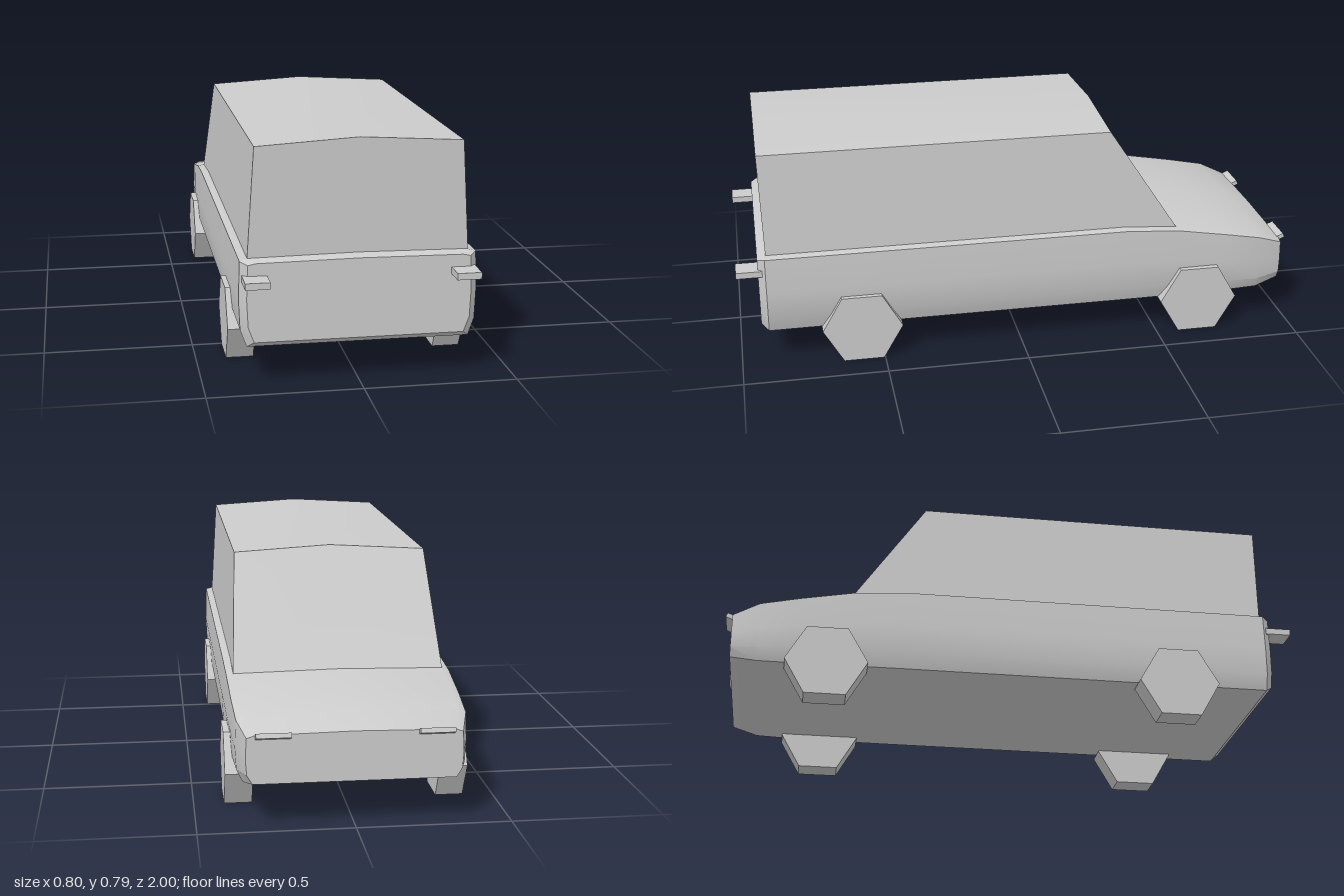
import * as THREE from 'three';
import { toCreasedNormals } from 'three/addons/utils/BufferGeometryUtils.js';

const material = new THREE.MeshStandardMaterial({ color: 0xcccccc });

// Skin closed rings (counter-clockwise seen from +z, ordered from +z to -z), capped at both ends
function loft(rings) {
  const out = [];
  const n = rings[0].length;
  const centre = (ring) => [0, 1, 2].map((k) => ring.reduce((sum, p) => sum + p[k], 0) / n);
  const first = rings[0], last = rings[rings.length - 1];
  const c0 = centre(first), c1 = centre(last);
  for (let j = 0; j < n; j++) {
    const k = (j + 1) % n;
    for (let i = 0; i < rings.length - 1; i++) {
      const [a, b, c, d] = [rings[i][j], rings[i][k], rings[i + 1][j], rings[i + 1][k]];
      out.push(...a, ...c, ...b, ...b, ...c, ...d);
    }
    out.push(...c0, ...first[j], ...first[k], ...c1, ...last[k], ...last[j]);
  }
  const geometry = new THREE.BufferGeometry();
  geometry.setAttribute('position', new THREE.Float32BufferAttribute(out, 3));
  return toCreasedNormals(geometry, 0.45);
}

// Complete a right-hand half outline, ending on the centre line, by mirroring it
function mirrorRing(half) {
  const other = half.slice(0, -1).reverse().map(([x, y, z]) => [-x, y, z]);
  return [...half, ...other];
}

function addMesh(parent, name, geometry, x = 0, y = 0, z = 0) {
  const mesh = new THREE.Mesh(geometry, material);
  mesh.name = name;
  mesh.position.set(x, y, z);
  parent.add(mesh);
  return mesh;
}

// Bulging body section: width scale, sill height, shoulder height, crown height
function bodyRing([z, width, sill, shoulder, crown]) {
  const at = (x, t) => [x * width, sill + (shoulder - sill) * t, z];
  return mirrorRing([
    at(0.36, 0), at(0.38, 0.2), at(0.384, 0.55), at(0.38, 1),
    [0.354 * width, shoulder + (crown - shoulder) * 0.6, z],
    [0, crown, z],
  ]);
}

export function createModel() {
  const car = new THREE.Group();
  car.name = 'car';

  // Lower body from tail (+z) to nose (-z)
  const stations = [
    [0.925, 0.94, 0.145, 0.398, 0.407],
    [0.9, 1, 0.125, 0.406, 0.418],
    [-0.38, 1, 0.125, 0.406, 0.418],
    [-0.57, 0.995, 0.125, 0.392, 0.405],
    [-0.75, 0.985, 0.125, 0.36, 0.376],
    [-0.885, 0.97, 0.128, 0.333, 0.352],
    [-0.975, 0.9, 0.147, 0.297, 0.31],
  ];
  addMesh(car, 'body', loft(stations.map(bodyRing)));

  // Cabin with upright back and sloping windscreen
  const cabinRing = (base, zBase, zRoof) => mirrorRing([
    [0.356, base, zBase], [0.332, 0.77, zRoof], [0, 0.79, zRoof],
  ]);
  addMesh(car, 'cabin', loft([cabinRing(0.4, 0.895, 0.905), cabinRing(0.39, -0.572, -0.32)]));

  // Six-sided wheels, flat side down
  const wheel = new THREE.CylinderGeometry(0.141, 0.141, 0.092, 6).toNonIndexed();
  wheel.rotateZ(Math.PI / 2);
  wheel.computeVertexNormals();

  const tailLamp = new THREE.BoxGeometry(0.079, 0.022, 0.09);
  const headLamp = new THREE.BoxGeometry(0.112, 0.016, 0.03);

  for (const [side, label] of [[1, 'left'], [-1, 'right']]) {
    for (const [z, end] of [[0.575, 'Rear'], [-0.65, 'Front']]) {
      addMesh(car, `${label}${end}Wheel`, wheel, side * 0.354, 0.122, z);
    }
    addMesh(car, `${label}TailLamp`, tailLamp, side * 0.335, 0.352, 0.955);
    const lamp = addMesh(car, `${label}HeadLamp`, headLamp, side * 0.258, 0.304, -0.983);
    lamp.rotation.x = 0.4;
  }

  return car;
}
